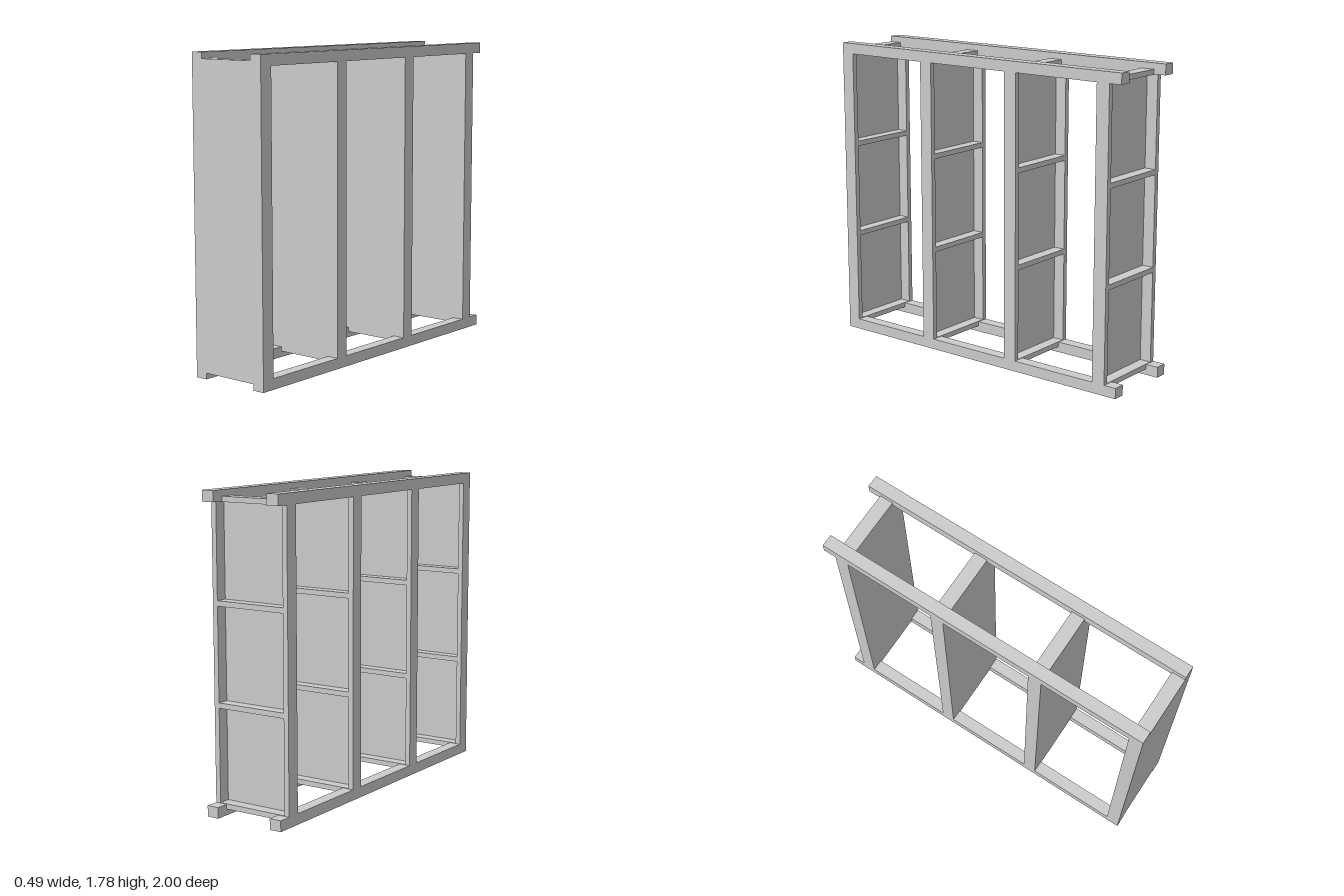
import * as THREE from 'three';

const W = 0.494, H = 1.78, L = 2;      // overall width, height, length
const RAIL_W = 0.072, RAIL_H = 0.062;  // long side rails
const POST_W = 0.03, DEPTH = 0.08;     // upright posts
const PANEL_T = 0.012, BATTEN_H = 0.03, EDGE = 0.035;

export function createModel() {
  const model = new THREE.Group();
  model.name = 'rack';
  const material = new THREE.MeshStandardMaterial({ color: 0xcccccc, flatShading: true });

  const box = (parent, name, w, h, d, x, y, z) => {
    const mesh = new THREE.Mesh(new THREE.BoxGeometry(w, h, d), material);
    mesh.name = name;
    mesh.position.set(x, y, z);
    parent.add(mesh);
  };

  // Four long rails along the top and bottom edges
  for (const side of [-1, 1]) {
    const x = side * (W - RAIL_W) / 2;
    box(model, 'bottomRail', RAIL_W, RAIL_H, L, x, RAIL_H / 2, 0);
    box(model, 'topRail', RAIL_W, RAIL_H, L, x, H - RAIL_H / 2, 0);
  }

  // Four upright dividers: posts, thin front panel and battens behind it
  const innerW = W - 2 * POST_W;
  for (let i = 0; i < 4; i++) {
    const divider = new THREE.Group();
    divider.name = 'divider';
    divider.position.z = L / 2 - i * 0.615;
    model.add(divider);

    for (const side of [-1, 1]) {
      box(divider, 'post', POST_W, H - 2 * RAIL_H, DEPTH, side * (W - POST_W) / 2, H / 2, -DEPTH / 2);
    }
    box(divider, 'panel', innerW, H - 2 * EDGE, PANEL_T, 0, H / 2, -PANEL_T / 2);

    const battenD = DEPTH - PANEL_T;
    const step = (H - 2 * EDGE - BATTEN_H) / 3;
    for (let j = 0; j < 4; j++) {
      box(divider, 'batten', innerW, BATTEN_H, battenD, 0, EDGE + BATTEN_H / 2 + j * step, -PANEL_T - battenD / 2);
    }
  }
  return model;
}
